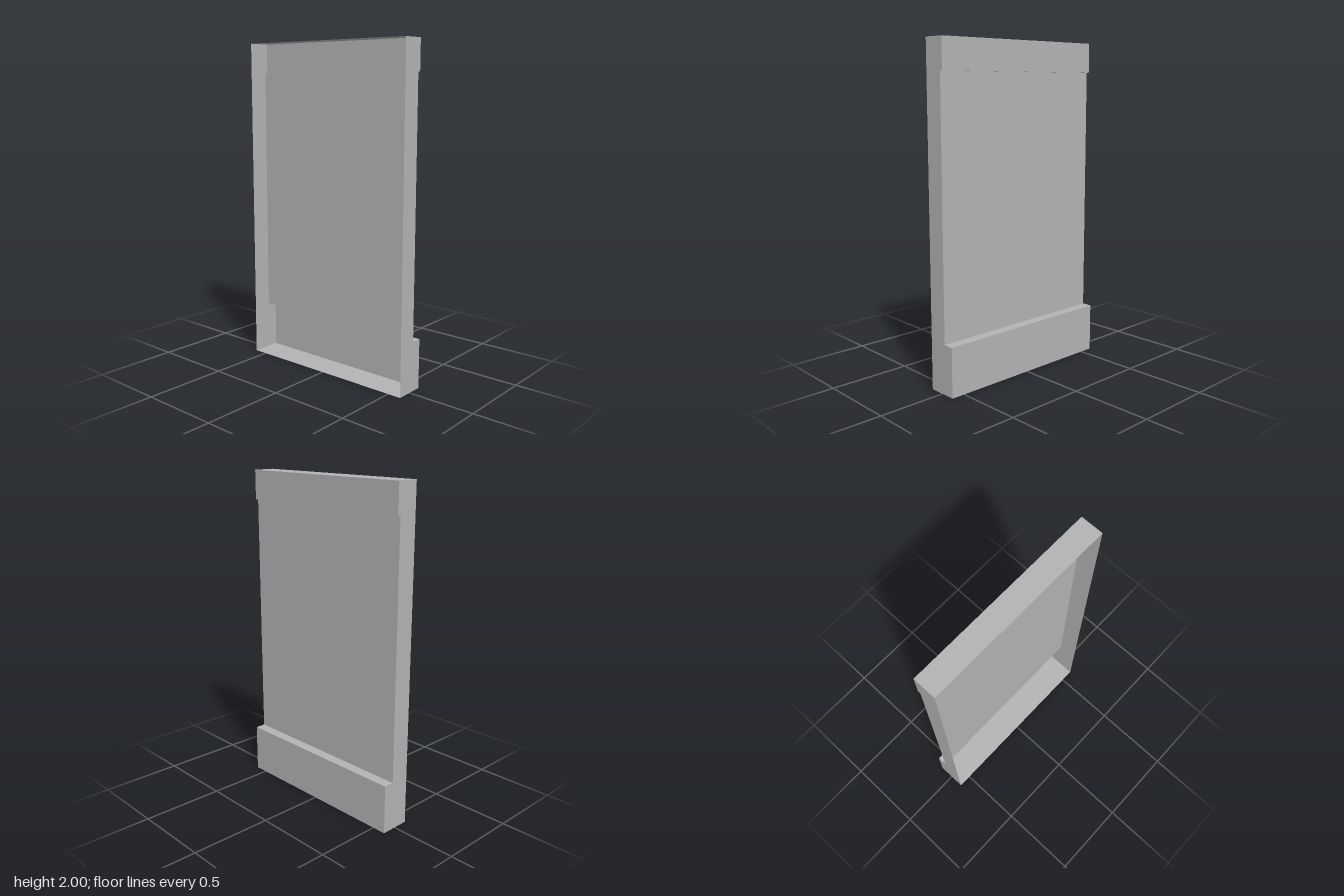
import * as THREE from 'three';

export function createModel() {
  const model = new THREE.Group();
  model.name = 'wallSection';
  const grey = new THREE.MeshStandardMaterial({ color: 0xb2b2b2, side: THREE.DoubleSide });
  grey.name = 'plainGrey';

  const halfDepth = 0.585;
  const back = -0.092, panelX = 0.028, corniceX = 0.045, plinthX = 0.092;
  const plinthTop = 0.3, corniceBottom = 1.82, height = 2;

  // Cross-section from the bottom rear edge round to the top rear edge; the back stays open
  const profile = [
    [back, 0], [plinthX, 0], [plinthX, plinthTop], [panelX, plinthTop],
    [panelX, corniceBottom], [corniceX, corniceBottom], [corniceX, height], [back, height],
  ].map(([x, y]) => new THREE.Vector2(x, y));

  const add = (name, geometry) => {
    const mesh = new THREE.Mesh(geometry, grey);
    mesh.name = name;
    model.add(mesh);
    return mesh;
  };

  // One flat sheet for each step of the profile, facing outwards
  const names = ['base', 'plinthFace', 'plinthLedge', 'wallPanel', 'corniceUnderside', 'corniceFace', 'top'];
  const zAxis = new THREE.Vector3(0, 0, 1);
  names.forEach((name, i) => {
    const a = profile[i], b = profile[i + 1];
    const length = a.distanceTo(b);
    const along = new THREE.Vector3((b.x - a.x) / length, (b.y - a.y) / length, 0);
    const normal = new THREE.Vector3(along.y, -along.x, 0);
    const place = new THREE.Matrix4().makeBasis(along, zAxis, normal)
      .setPosition((a.x + b.x) / 2, (a.y + b.y) / 2, 0);
    add(name, new THREE.PlaneGeometry(length, halfDepth * 2).applyMatrix4(place));
  });

  // End walls in the shape of the profile
  const endShape = new THREE.Shape(profile);
  add('frontEnd', new THREE.ShapeGeometry(endShape).translate(0, 0, halfDepth));
  const rear = new THREE.ShapeGeometry(endShape).translate(0, 0, -halfDepth);
  // Reverse the corners so the rear end faces away from the front
  const index = rear.index.array;
  for (let i = 0; i < index.length; i += 3) [index[i], index[i + 1]] = [index[i + 1], index[i]];
  rear.attributes.normal.array.forEach((v, i, n) => { n[i] = -v; });
  add('rearEnd', rear);

  return model;
}
